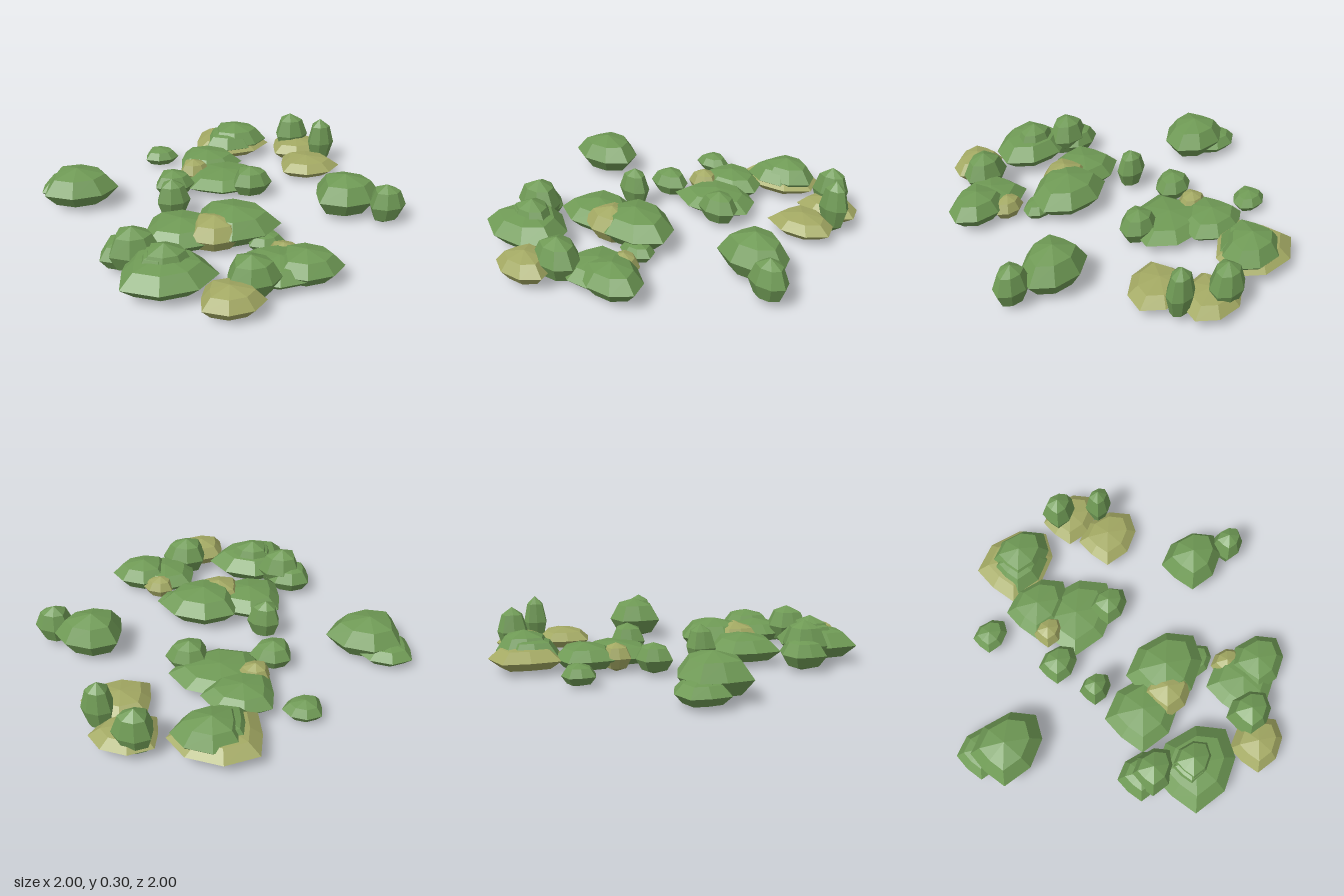
import * as THREE from 'three';

// equator outline of one bush (x, z), pointed towards +x
const RIM = [[1, 0], [0.67, 0.5], [0, 0.74], [-0.7, 0.58], [-0.74, 0], [-0.66, -0.54], [0, -0.74], [0.67, -0.5]];
// rings from bottom to top: [height, outline scale]
const RINGS = [[-0.68, 0.69], [0, 1], [0.7, 0.68]];

// unit bush: three rings closed by a bottom and a top point
function bushGeometry() {
  const n = RIM.length;
  const pos = [0, -1, 0];
  for (const [y, s] of RINGS) for (const [x, z] of RIM) pos.push(x * s, y, z * s);
  pos.push(0, 1, 0);
  const top = 1 + RINGS.length * n;
  const index = [];
  for (let i = 0; i < n; i++) {
    const j = (i + 1) % n;
    index.push(0, 1 + i, 1 + j);
    for (let r = 0; r < RINGS.length - 1; r++) {
      const a = 1 + r * n + i, b = 1 + r * n + j;
      index.push(a, a + n, b, b, a + n, b + n);
    }
    const a = top - n + i, b = top - n + j;
    index.push(a, top, b);
  }
  const geo = new THREE.BufferGeometry();
  geo.setAttribute('position', new THREE.Float32BufferAttribute(pos, 3));
  geo.setIndex(index);
  const flat = geo.toNonIndexed();
  flat.computeVertexNormals();
  return flat;
}

// each bush: x, z, tip radius, top height
const GREEN_WEST = [
  [-0.786, -0.112, 0.225, 0.22], [-0.877, -0.203, 0.166, 0.125],
  [-0.38, -0.626, 0.112, 0.11], [-0.267, -0.22, 0.125, 0.16],
  [-0.25, 0.035, 0.1, 0.235], [-0.18, 0.305, 0.24, 0.16],
  [-0.235, 0.7, 0.262, 0.19], [-0.23, 0.675, 0.145, 0.24],
  [-0.25, 0.68, 0.145, 0.22], [-0.445, 0.515, 0.148, 0.17],
  [-0.396, 0.55, 0.142, 0.25],
];
const GREEN_EAST = [
  [0.68, -0.045, 0.203, 0.24], [0.888, 0.048, 0.11, 0.23],
  [0.075, -0.81, 0.195, 0.2], [0.035, -0.78, 0.19, 0.175],
  [0.422, -0.823, 0.112, 0.265], [0.594, -0.668, 0.088, 0.295],
  [-0.086, -0.53, 0.208, 0.145], [0.016, -0.337, 0.262, 0.12],
  [0.17, -0.232, 0.125, 0.185], [0.08, 0.245, 0.25, 0.2],
  [0.24, 0.335, 0.107, 0.105], [0.305, 0.6, 0.23, 0.14],
  [0.43, 0.6, 0.187, 0.175], [0.17, 0.743, 0.145, 0.23],
];
const OLIVE = [
  [0.03, -0.81, 0.257, 0.14], [0.46, -0.77, 0.187, 0.125],
  [0.508, -0.524, 0.198, 0.12], [-0.16, -0.385, 0.1, 0.15],
  [-0.01, 0.33, 0.17, 0.19], [0.33, 0.475, 0.1, 0.13],
  [0.075, 0.87, 0.17, 0.155],
];

export function createModel() {
  const green = new THREE.MeshStandardMaterial({ color: 0x6f9a55, flatShading: true });
  green.name = 'leafGreen';
  const olive = new THREE.MeshStandardMaterial({ color: 0xa3a963, flatShading: true });
  olive.name = 'dryOlive';
  const geo = bushGeometry();
  const model = new THREE.Group();
  model.name = 'bushes';

  function plant(list, material, name) {
    list.forEach(([x, z, r, topY], i) => {
      const bush = new THREE.Mesh(geo, material);
      bush.name = name + (i + 1);
      const h = topY / 2;
      bush.scale.set(r, h, r);
      bush.position.set(x, h + 0.003, z);
      model.add(bush);
    });
  }
  plant(GREEN_WEST, green, 'greenBushWest');
  plant(GREEN_EAST, green, 'greenBushEast');
  plant(OLIVE, olive, 'oliveBush');
  return model;
}
